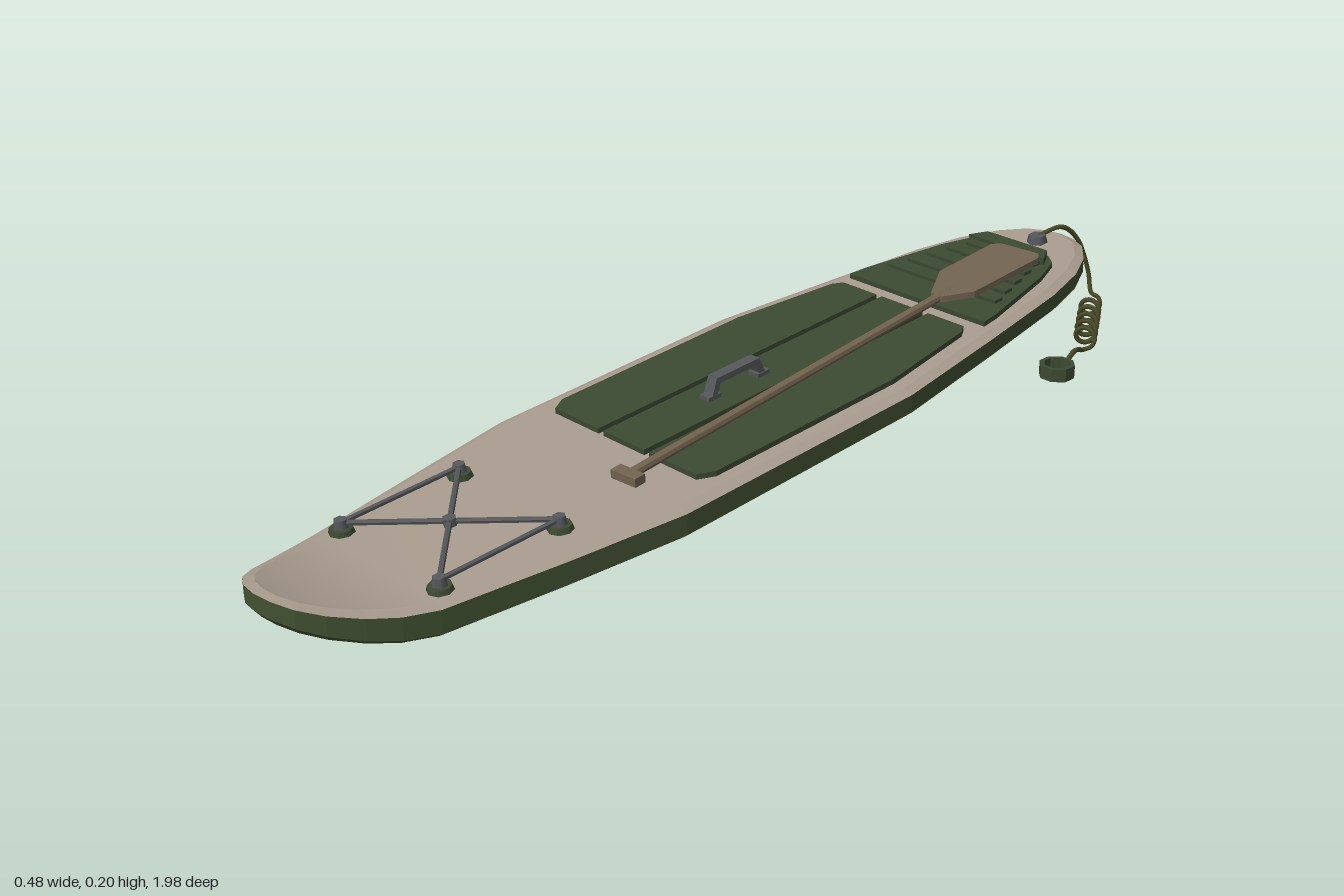
import * as THREE from 'three';

const mat = (name, color) => {
  const m = new THREE.MeshStandardMaterial({ color });
  m.name = name;
  return m;
};
const V = (x, y, z) => new THREE.Vector3(x, y, z);

// Half outline of the board as [x, z], nose to stern
const OUTLINE = [[0, 1], [0.035, 0.994], [0.07, 0.975], [0.1, 0.94], [0.128, 0.89], [0.15, 0.84],
  [0.168, 0.78], [0.206, 0.56], [0.24, 0.34], [0.24, -0.2], [0.205, -0.46], [0.172, -0.68],
  [0.145, -0.78], [0.11, -0.85], [0.07, -0.895], [0.035, -0.912], [0, -0.917]];
const SLOPE = 0.073, DECK_MID = 0.118;
const lift = z => (Math.max(0, z - 0.74) / 0.26) ** 2;
const deckY = z => DECK_MID - SLOPE * z + 0.065 * lift(z);
const bottomY = z => 0.002 + 0.081 * (0.78 - z) + 0.078 * lift(z);

// Closed ring around the board, inset from the outline
function ring(inset, yAt) {
  const n = OUTLINE.length;
  const half = OUTLINE.map(([x, z], i) => {
    const a = i ? OUTLINE[i - 1] : [-OUTLINE[1][0], OUTLINE[1][1]];
    const b = i < n - 1 ? OUTLINE[i + 1] : [-OUTLINE[n - 2][0], OUTLINE[n - 2][1]];
    const tx = b[0] - a[0], tz = b[1] - a[1], l = Math.hypot(tx, tz);
    const px = x + inset * tz / l, pz = z - inset * tx / l;
    return V(i === 0 || i === n - 1 ? 0 : Math.max(px, 0.001), yAt(pz), pz);
  });
  return half.concat(half.slice(1, -1).reverse().map(p => V(-p.x, p.y, p.z)));
}

function geometryFrom(points, index, smooth) {
  let g = new THREE.BufferGeometry().setFromPoints(points);
  g.setIndex(index);
  if (!smooth) g = g.toNonIndexed();
  g.computeVertexNormals();
  return g;
}

// Side wall through a stack of rings
function wall(rings) {
  const n = rings[0].length, index = [];
  for (let r = 0; r < rings.length - 1; r++) {
    for (let i = 0; i < n; i++) {
      const a = r * n + i, b = r * n + (i + 1) % n;
      index.push(a, b, b + n, a, b + n, a + n);
    }
  }
  return geometryFrom(rings.flat(), index, false);
}

// Surface spanning a ring, in strips from side to side
function cap(points, up) {
  const n = points.length, index = [];
  for (let i = 0; i < n / 2; i++) {
    const r0 = i, r1 = i + 1, l0 = (n - i) % n, l1 = n - i - 1;
    const tris = [[r0, r1, l1], [r0, l1, l0]];
    for (const [a, b, c] of tris) {
      if (a === b || b === c || a === c) continue;
      index.push(...(up ? [a, b, c] : [a, c, b]));
    }
  }
  return geometryFrom(points, index, true);
}

// Flat plate from [x, z] corners
function plate(corners, thickness) {
  const shape = new THREE.Shape(corners.map(([x, z]) => new THREE.Vector2(x, z)));
  return new THREE.ExtrudeGeometry(shape, { depth: thickness, bevelEnabled: false })
    .rotateX(Math.PI / 2).translate(0, thickness, 0);
}

function rod(a, b, radius, sides = 6) {
  const d = b.clone().sub(a);
  const g = new THREE.CylinderGeometry(radius, radius, d.length(), sides).toNonIndexed();
  g.computeVertexNormals();
  g.applyQuaternion(new THREE.Quaternion().setFromUnitVectors(V(0, 1, 0), d.normalize()));
  return g.translate((a.x + b.x) / 2, (a.y + b.y) / 2, (a.z + b.z) / 2);
}

export function createModel() {
  const sand = mat('sand', 0xa99c8f);
  const railGreen = mat('rail green', 0x425233);
  const padGreen = mat('pad green', 0x3c4a32);
  const wood = mat('paddle brown', 0x736450);
  const grey = mat('grey', 0x55575a);
  const olive = mat('leash olive', 0x4a4b26);

  const model = new THREE.Group();
  const add = (parent, name, geometry, material, x = 0, y = 0, z = 0) => {
    const m = new THREE.Mesh(geometry, material);
    m.name = name;
    m.position.set(x, y, z);
    parent.add(m);
    return m;
  };

  // Hull
  const low = ring(0.012, bottomY), railLow = ring(0, z => bottomY(z) + 0.009);
  const railTop = ring(0, z => deckY(z) - 0.008), deckRing = ring(0.018, deckY);
  add(model, 'rail', wall([low, railLow, railTop]), railGreen);
  add(model, 'deckEdge', wall([railTop, deckRing]), sand);
  add(model, 'deck', cap(deckRing, true), sand);
  add(model, 'hullBottom', cap(low, false), sand);

  // Everything fixed to the deck shares its tilt
  const deck = new THREE.Group();
  deck.name = 'deckFittings';
  deck.position.y = DECK_MID;
  deck.rotation.x = Math.atan(SLOPE);
  model.add(deck);

  // Traction pads
  const sidePad = [[0.065, 0.265], [0.18, 0.265], [0.197, 0.235], [0.197, -0.2], [0.165, -0.42],
    [0.152, -0.44], [0.065, -0.44]];
  for (const s of [1, -1]) {
    add(deck, s > 0 ? 'leftPad' : 'rightPad', plate(sidePad.map(([x, z]) => [s * x, z]), 0.01), padGreen);
  }
  add(deck, 'centrePad', plate([[-0.052, 0.265], [0.052, 0.265], [0.052, -0.44], [-0.052, -0.44]], 0.01), padGreen);
  const tail = [[0.17, -0.478], [0.165, -0.52], [0.125, -0.7], [0.1, -0.765], [0.075, -0.785]];
  add(deck, 'tailPad', plate([...tail, ...tail.map(([x, z]) => [-x, z]).reverse()], 0.01), padGreen);
  for (let i = 0; i < 5; i++) {
    add(deck, 'tailRib', new THREE.BoxGeometry(0.272 - i * 0.025, 0.008, 0.022), padGreen, 0, 0.013, -0.56 - i * 0.044);
  }
  add(deck, 'kickBar', plate([[-0.095, -0.745], [0.095, -0.745], [0.075, -0.78], [-0.075, -0.78]], 0.024), padGreen);

  // Carry handle
  add(deck, 'handleGrip', new THREE.BoxGeometry(0.022, 0.012, 0.1), grey, 0, 0.042, 0);
  for (const s of [1, -1]) {
    add(deck, 'handleFoot', new THREE.BoxGeometry(0.024, 0.008, 0.03), grey, 0, 0.014, s * 0.06);
    add(deck, 'handleLeg', new THREE.BoxGeometry(0.022, 0.038, 0.012), grey, 0, 0.028, s * 0.054).rotation.x = -s * 0.4;
  }

  // Bungee net with its four anchors
  const A = (x, z) => V(x, 0.018, z);
  for (const s of [1, -1]) {
    add(deck, 'bungeeSide', rod(A(s * 0.13, 0.515), A(s * 0.13, 0.755), 0.005), grey);
    add(deck, 'bungeeCross', rod(A(s * 0.13, 0.515), A(-s * 0.13, 0.755), 0.005), grey);
    for (const z of [0.515, 0.755]) {
      add(deck, 'anchorBase', new THREE.CylinderGeometry(0.02, 0.023, 0.01, 8), padGreen, s * 0.13, 0.005, z);
      add(deck, 'anchorRing', new THREE.CylinderGeometry(0.011, 0.014, 0.016, 6), grey, s * 0.13, 0.017, z);
    }
  }
  add(deck, 'bungeeKnot', new THREE.CylinderGeometry(0.012, 0.012, 0.014, 6), grey, 0, 0.018, 0.635);

  // Paddle lying on the pads
  const blade = [[-0.016, -0.72], [-0.002, -0.735], [0.085, -0.742], [0.097, -0.725], [0.102, -0.53],
    [0.07, -0.475], [0.042, -0.475], [-0.01, -0.56]];
  add(deck, 'paddleBlade', plate(blade, 0.012), wood, 0, 0.021, 0);
  add(deck, 'paddleShaft', rod(V(0.053, 0.026, -0.53), V(0.116, 0.024, 0.355), 0.009, 8), wood);
  add(deck, 'paddleGrip', new THREE.BoxGeometry(0.056, 0.016, 0.024), wood, 0.117, 0.024, 0.357).rotation.y = 0.07;

  // Leash plug
  add(deck, 'leashPlug', new THREE.CylinderGeometry(0.017, 0.021, 0.016, 6), grey, 0, 0.008, -0.843);

  // Leash: lead, coil and tail in one tube
  const start = V(0.046, 0.027, -0.972), end = V(0.163, 0.027, -0.8), side = V(0.827, 0, -0.562);
  const path = [V(0, 0.192, -0.843), V(0.014, 0.2, -0.9), V(0.024, 0.165, -0.942), V(0.033, 0.09, -0.973)];
  const turns = 5.5, steps = 44;
  for (let i = 0; i <= steps; i++) {
    const t = i / steps, a = t * turns * Math.PI * 2;
    const p = start.clone().lerp(end, t).addScaledVector(side, 0.019 * Math.sin(a));
    p.y += 0.019 * Math.cos(a);
    path.push(p);
  }
  path.push(V(0.178, 0.025, -0.75), V(0.19, 0.016, -0.706));
  add(model, 'leash', new THREE.TubeGeometry(new THREE.CatmullRomCurve3(path), 220, 0.005, 6), olive);

  // Ankle cuff
  const octagon = (Path, r) => new Path(Array.from({ length: 8 }, (_, i) => {
    const a = (i + 0.5) * Math.PI / 4;
    return new THREE.Vector2(r * Math.cos(a), r * Math.sin(a));
  }));
  const cuff = octagon(THREE.Shape, 0.035);
  cuff.holes.push(octagon(THREE.Path, 0.026));
  add(model, 'ankleCuff', new THREE.ExtrudeGeometry(cuff, { depth: 0.026, bevelEnabled: false })
    .rotateX(-Math.PI / 2), padGreen, 0.196, 0.002, -0.672);

  // Fin under the stern
  const fin = new THREE.Shape([[-0.72, 0.127], [-0.775, 0.085], [-0.82, 0.04], [-0.85, 0.012], [-0.868, 0.012],
    [-0.872, 0.05], [-0.855, 0.14]].map(([z, y]) => new THREE.Vector2(-z, y)));
  add(model, 'fin', new THREE.ExtrudeGeometry(fin, { depth: 0.014, bevelEnabled: false })
    .translate(0, 0, -0.007).rotateY(Math.PI / 2), railGreen);

  return model;
}
